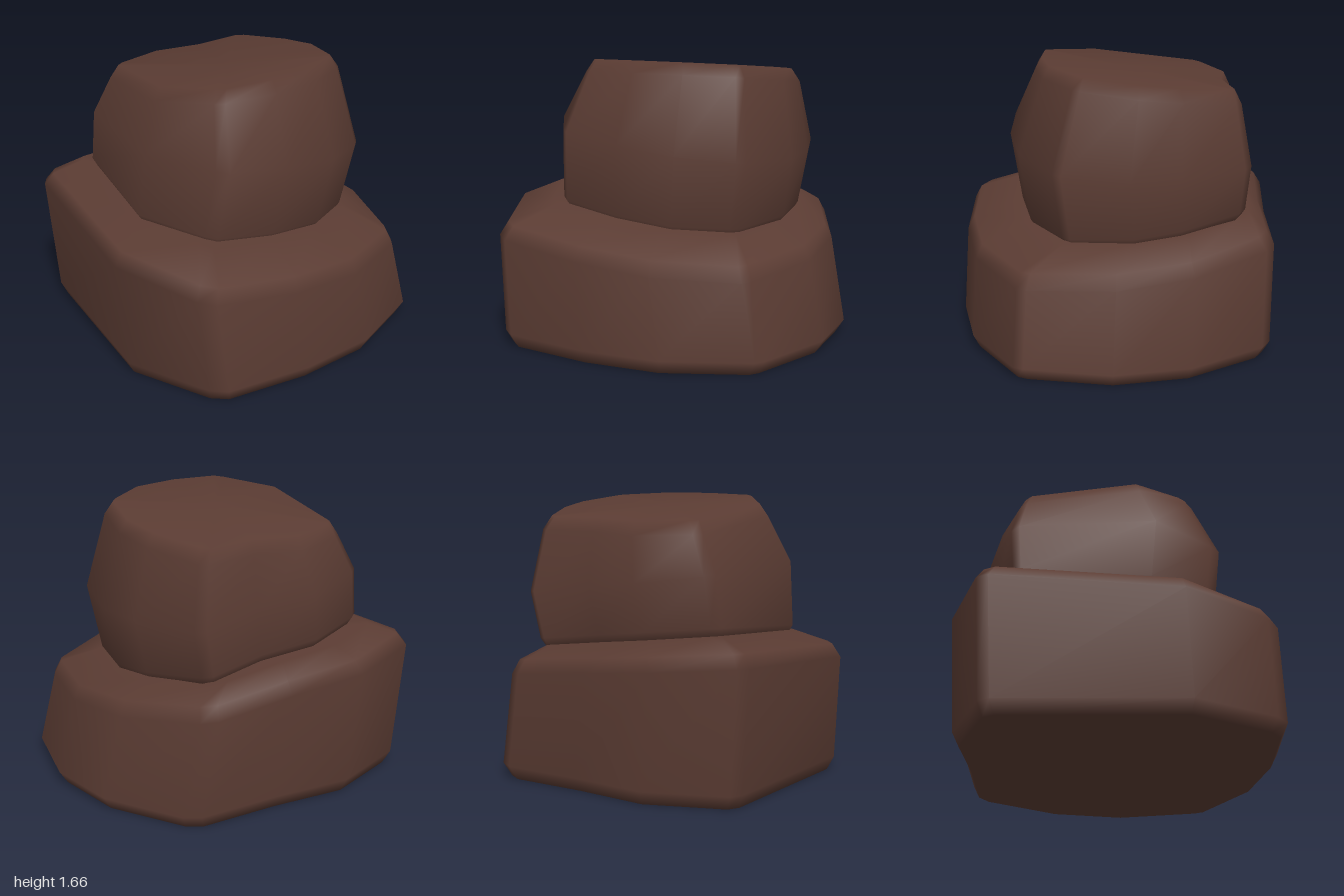
import * as THREE from 'three';

// Outlines seen from above, as [x, z], running back-left, back, right, front, left
const baseOutline = [
  [-0.75, -0.78], [-0.70, -0.84], [-0.21, -0.93], [0.25, -0.81], [0.73, -0.72], [0.81, -0.65],
  [1, -0.18], [1, 0.27], [0.81, 0.74], [0.77, 0.79], [0.28, 0.96], [-0.19, 0.96],
  [-0.70, 0.86], [-0.78, 0.78], [-0.96, 0.27],
];
const upperOutline = [
  [-0.56, -0.63], [-0.50, -0.67], [-0.11, -0.75], [0.23, -0.63], [0.60, -0.62], [0.65, -0.57],
  [0.75, -0.18], [0.75, 0.12], [0.60, 0.48], [0.55, 0.52], [0.23, 0.66], [-0.13, 0.66],
  [-0.49, 0.58], [-0.54, 0.52], [-0.74, 0.14],
];

// Each ring: x range, z range, and a tilted height y = a + b*x + c*z
const baseRings = [
  { x: [-0.92, 0.95], z: [-0.89, 0.92], y: [0, 0, 0] },
  { x: [-0.96, 1.00], z: [-0.93, 0.96], y: [0.08, 0, 0] },
  { x: [-1.00, 0.90], z: [-0.97, 0.92], y: [0.634, -0.09, -0.09] },
  { x: [-0.95, 0.86], z: [-0.92, 0.88], y: [0.715, -0.09, -0.09] },
  { x: [-0.74, 0.67], z: [-0.81, 0.62], y: [0.80, -0.105, -0.09] },
];
const upperRings = [
  { x: [-0.70, 0.65], z: [-0.69, 0.55], y: [0.765, -0.105, -0.11] },
  { x: [-0.74, 0.69], z: [-0.73, 0.59], y: [0.83, -0.105, -0.11] },
  { x: [-0.71, 0.75], z: [-0.75, 0.66], y: [1.185, -0.12, 0] },
  { x: [-0.59, 0.67], z: [-0.68, 0.51], y: [1.53, 0, 0.115] },
  { x: [-0.54, 0.62], z: [-0.64, 0.47], y: [1.605, 0, 0.115] },
];

// Stretch the outline to each ring's ranges, skin between rings and close both ends
function rockGeometry(outline, rings) {
  const n = outline.length;
  const xs = outline.map((p) => p[0]);
  const zs = outline.map((p) => p[1]);
  const fit = (v, all, range) =>
    THREE.MathUtils.mapLinear(v, Math.min(...all), Math.max(...all), range[0], range[1]);
  const positions = [];
  const index = [];

  for (const ring of rings) {
    for (const [px, pz] of outline) {
      const x = fit(px, xs, ring.x);
      const z = fit(pz, zs, ring.z);
      positions.push(x, ring.y[0] + ring.y[1] * x + ring.y[2] * z, z);
    }
  }
  for (let r = 0; r < rings.length - 1; r++) {
    for (let i = 0; i < n; i++) {
      const a = r * n + i;
      const b = r * n + (i + 1) % n;
      index.push(a, a + n, b, b, a + n, b + n);
    }
  }
  // End caps
  const last = (rings.length - 1) * n;
  positions.push(0, rings[0].y[0], 0, 0, rings[rings.length - 1].y[0], 0);
  const bottom = rings.length * n;
  for (let i = 0; i < n; i++) {
    const j = (i + 1) % n;
    index.push(bottom, i, j, bottom + 1, last + j, last + i);
  }

  const geometry = new THREE.BufferGeometry();
  geometry.setAttribute('position', new THREE.Float32BufferAttribute(positions, 3));
  geometry.setIndex(index);
  geometry.computeVertexNormals();
  return geometry;
}

export function createModel() {
  const group = new THREE.Group();
  group.name = 'stackedRocks';
  const stone = new THREE.MeshStandardMaterial({ color: 0x5b3c33 });
  stone.name = 'brown stone';

  const parts = [
    ['baseRock', baseOutline, baseRings],
    ['upperRock', upperOutline, upperRings],
  ];
  for (const [name, outline, rings] of parts) {
    const mesh = new THREE.Mesh(rockGeometry(outline, rings), stone);
    mesh.name = name;
    group.add(mesh);
  }
  return group;
}
